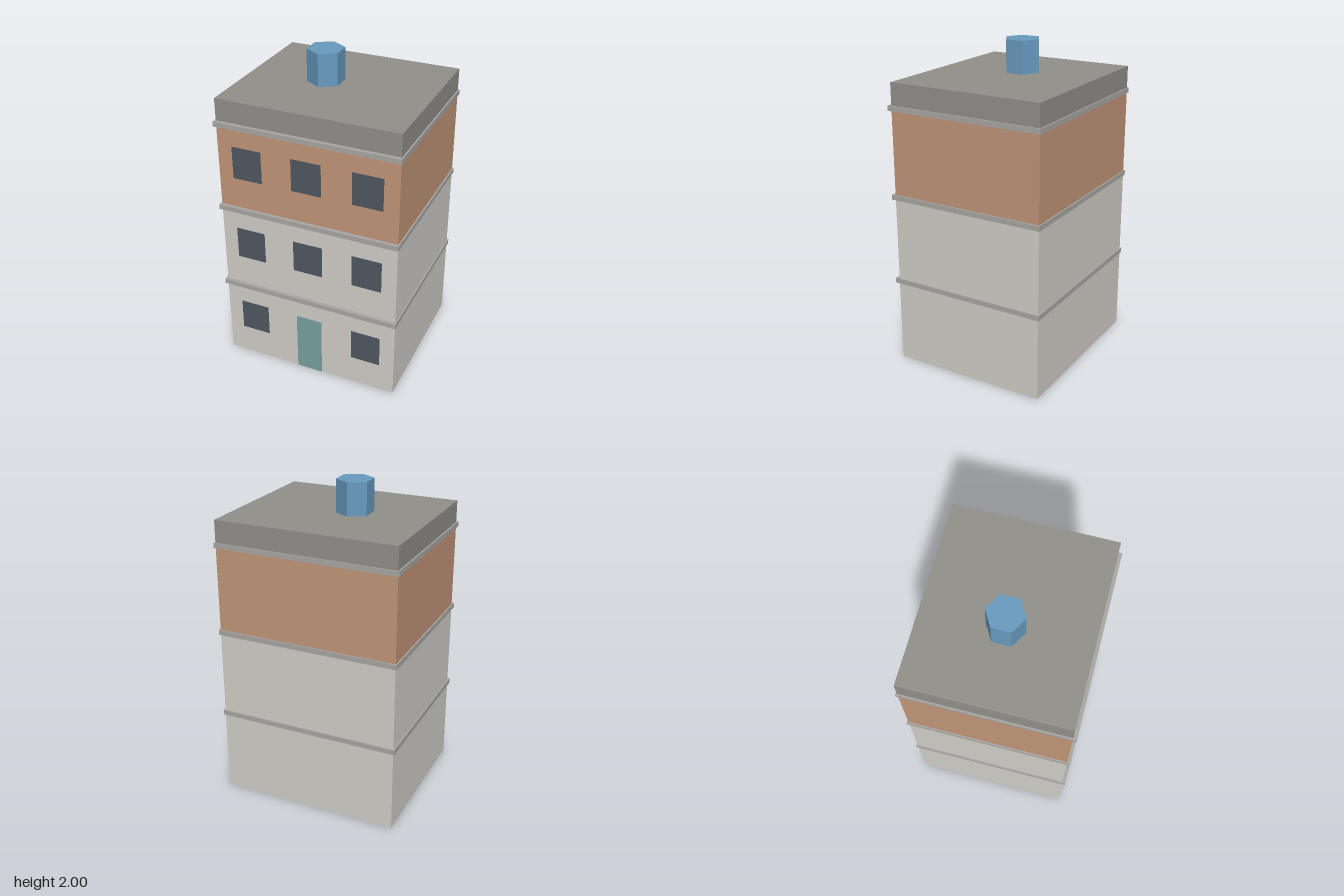
import * as THREE from 'three';

const mat = (color) => new THREE.MeshStandardMaterial({ color, flatShading: true });

const plaster = mat(0xd2cfc9);
const brick = mat(0xc29679);
const stone = mat(0xaaa8a4);
const roofing = mat(0x92908b);
const glass = mat(0x505861);
const paint = mat(0x78a2a0);
const metal = mat(0x689bbf);

const WIDTH = 1.14, DEPTH = 0.99, BODY_Z = -0.007;
const FLOOR = 0.5525;
const FRONT = BODY_Z + DEPTH / 2;

export function createModel() {
  const model = new THREE.Group();
  model.name = 'building';

  const add = (name, geometry, material, x, y, z) => {
    const mesh = new THREE.Mesh(geometry, material);
    mesh.name = name;
    mesh.position.set(x, y, z);
    model.add(mesh);
  };
  // Box standing on height y0
  const block = (name, w, h, d, material, y0, z) =>
    add(name, new THREE.BoxGeometry(w, h, d), material, 0, y0 + h / 2, z);
  // Flat panel just proud of the front wall
  const panel = (name, w, h, material, x, y) =>
    add(name, new THREE.PlaneGeometry(w, h), material, x, y, FRONT + 0.003);

  ['groundFloor', 'middleFloor', 'topFloor'].forEach((name, i) => {
    const base = i * 0.548;
    block(name, WIDTH, 0.548, DEPTH, i === 2 ? brick : plaster, base, BODY_Z);

    // Ledge above each floor
    block('ledge', 1.158, 0.032, 1.02, stone, 0.523 + i * FLOOR, 0);

    // Windows, with the door taking the middle place on the ground floor
    for (const x of [-0.381, 0, 0.381]) {
      if (i === 0 && x === 0) continue;
      panel('window', 0.19, 0.208, glass, x, 0.297 + i * 0.555);
    }
  });
  panel('door', 0.17, 0.4, paint, 0, 0.2);

  // Roof block and six-sided chimney
  block('roof', WIDTH, 0.154, DEPTH, roofing, 1.644, BODY_Z);
  add('chimney', new THREE.CylinderGeometry(0.114, 0.114, 0.202, 6), metal, -0.098, 1.899, -0.009);

  return model;
}
